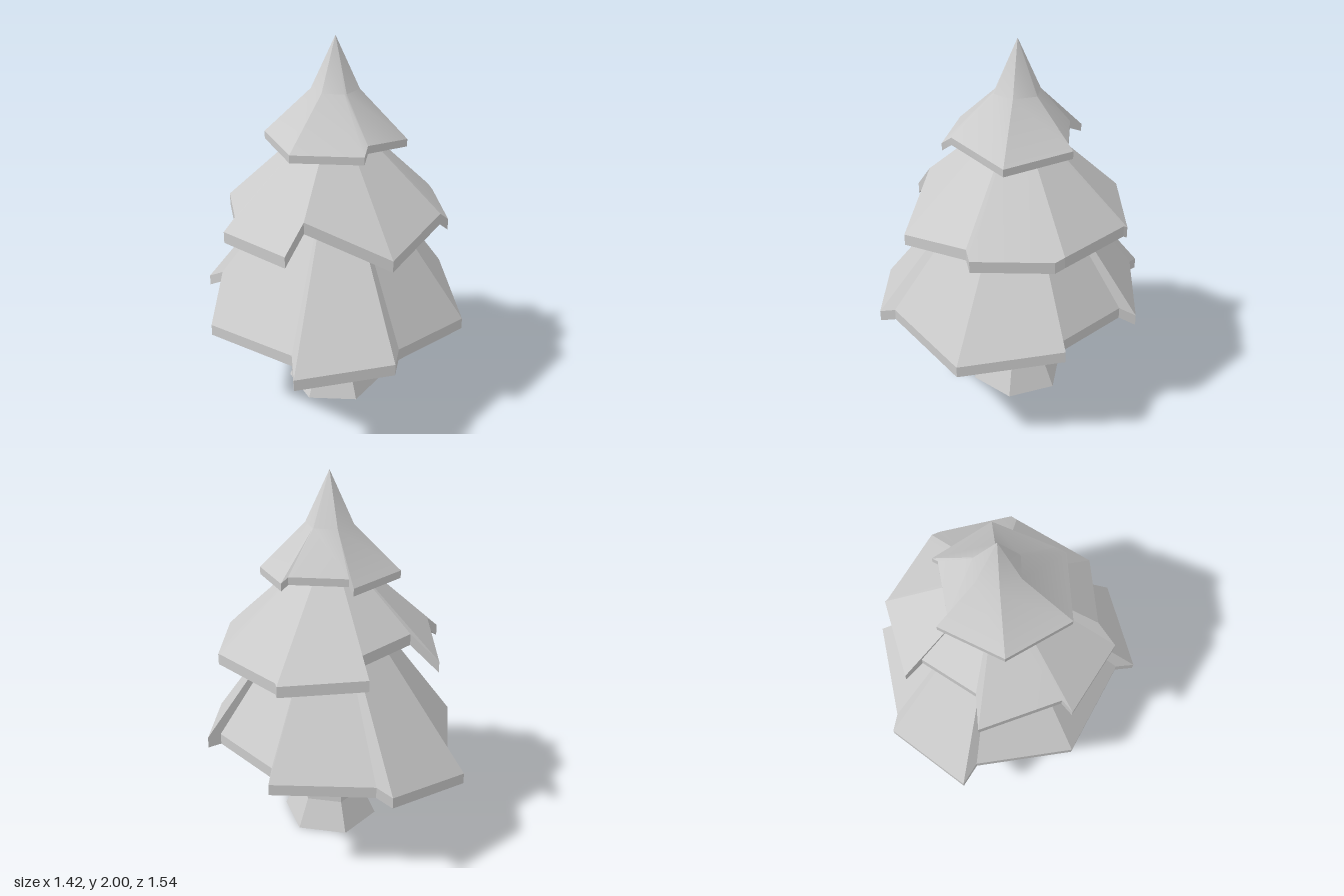
import * as THREE from 'three';
import { toCreasedNormals } from 'three/addons/utils/BufferGeometryUtils.js';

const AXIS = 0.02; // x of the trunk axis
const material = new THREE.MeshStandardMaterial({ color: 0xcccccc, side: THREE.DoubleSide });

// Edges sharper than the crease angle stay hard
function part(name, geometry, crease) {
  const mesh = new THREE.Mesh(toCreasedNormals(geometry, crease), material);
  mesh.name = name;
  return mesh;
}

// Thick skirt: each rim point becomes a closed section (profile from top to
// rim, then back up one thickness lower); sections join in a closed ring.
function skirt(rim, profileOf, thickness) {
  const sections = rim.map((p) => {
    const outer = profileOf(new THREE.Vector3(...p));
    const inner = outer.map((v) => v.clone().setY(v.y - thickness)).reverse();
    return [...outer, ...inner];
  });
  const pos = [];
  const triangle = (a, b, c) => {
    if (a.equals(b) || b.equals(c) || c.equals(a)) return;
    [a, b, c].forEach((v) => pos.push(v.x, v.y, v.z));
  };
  sections.forEach((s, i) => {
    const t = sections[(i + 1) % sections.length];
    for (let j = 0; j < s.length; j++) {
      const k = (j + 1) % s.length;
      triangle(s[k], s[j], t[j]);
      triangle(s[k], t[j], t[k]);
    }
  });
  const geo = new THREE.BufferGeometry();
  geo.setAttribute('position', new THREE.Float32BufferAttribute(pos, 3));
  return geo;
}

// Straight slope running from the rim most of the way to a hidden apex
const straight = (apexY) => (p) => [p.clone().lerp(new THREE.Vector3(AXIS, apexY, 0), 0.85), p];

// Pointed crown with a kink part way down
const crown = (p) => {
  const d = new THREE.Vector3(p.x - AXIS, 0, p.z).setLength(0.125);
  return [new THREE.Vector3(AXIS, 2, 0), new THREE.Vector3(AXIS + d.x, 1.73, d.z), p];
};

// Rim corners run round each tier; every row is one shingle,
// and the jump to the next row forms the step between them.
const tiers = [
  {
    name: 'lowerBranches', slope: straight(1.53), thickness: 0.06, crease: 0.2,
    rim: [
      [0.71, 0.61, 0], [0.53, 0.52, 0.51], [0.02, 0.58, 0.7],
      [-0.04, 0.55, 0.77], [-0.51, 0.505, 0.61],
      [-0.47, 0.57, 0.5], [-0.71, 0.54, 0], [-0.47, 0.57, -0.49],
      [-0.51, 0.5, -0.61], [-0.04, 0.56, -0.77],
      [0.02, 0.59, -0.7], [0.51, 0.58, -0.49],
      [0.47, 0.62, -0.41], [0.64, 0.62, 0],
    ],
  },
  {
    name: 'middleBranches', slope: straight(1.66), thickness: 0.06, crease: 0.2,
    rim: [
      [0.42, 1.12, 0.41], [0.02, 1.03, 0.62], [-0.34, 1.21, 0.38],
      [-0.46, 1.07, 0.42], [-0.62, 1.07, 0.02],
      [-0.55, 1.13, 0], [-0.42, 1.08, -0.43],
      [-0.29, 1.22, -0.35], [0.02, 1.2, -0.47],
      [0.02, 1.12, -0.58], [0.44, 1.09, -0.44],
      [0.44, 1.1, -0.42], [0.62, 1.1, -0.02],
      [0.62, 1.08, 0.03], [0.47, 1.08, 0.41],
    ],
  },
  {
    name: 'topBranches', slope: crown, thickness: 0.04, crease: 0.5,
    rim: [
      [0.02, 1.53, -0.29], [0.29, 1.53, -0.165],
      [0.33, 1.505, -0.175], [0.34, 1.47, 0.19], [0.02, 1.53, 0.35],
      [-0.02, 1.49, 0.39], [-0.33, 1.49, 0.2], [-0.3, 1.5, -0.18], [0.02, 1.505, -0.355],
    ],
  },
];

export function createModel() {
  const model = new THREE.Group();
  model.name = 'tree';

  // flared six-sided trunk, open at the base
  const profile = [[0.265, 0], [0.19, 0.16], [0.15, 0.6]].map(([r, y]) => new THREE.Vector2(r, y));
  const trunk = part('trunk', new THREE.LatheGeometry(profile, 6), 0.2);
  trunk.position.x = AXIS;
  model.add(trunk);

  // three tiers of stepped shingles
  for (const { name, rim, slope, thickness, crease } of tiers) {
    model.add(part(name, skirt(rim, slope, thickness), crease));
  }
  return model;
}
